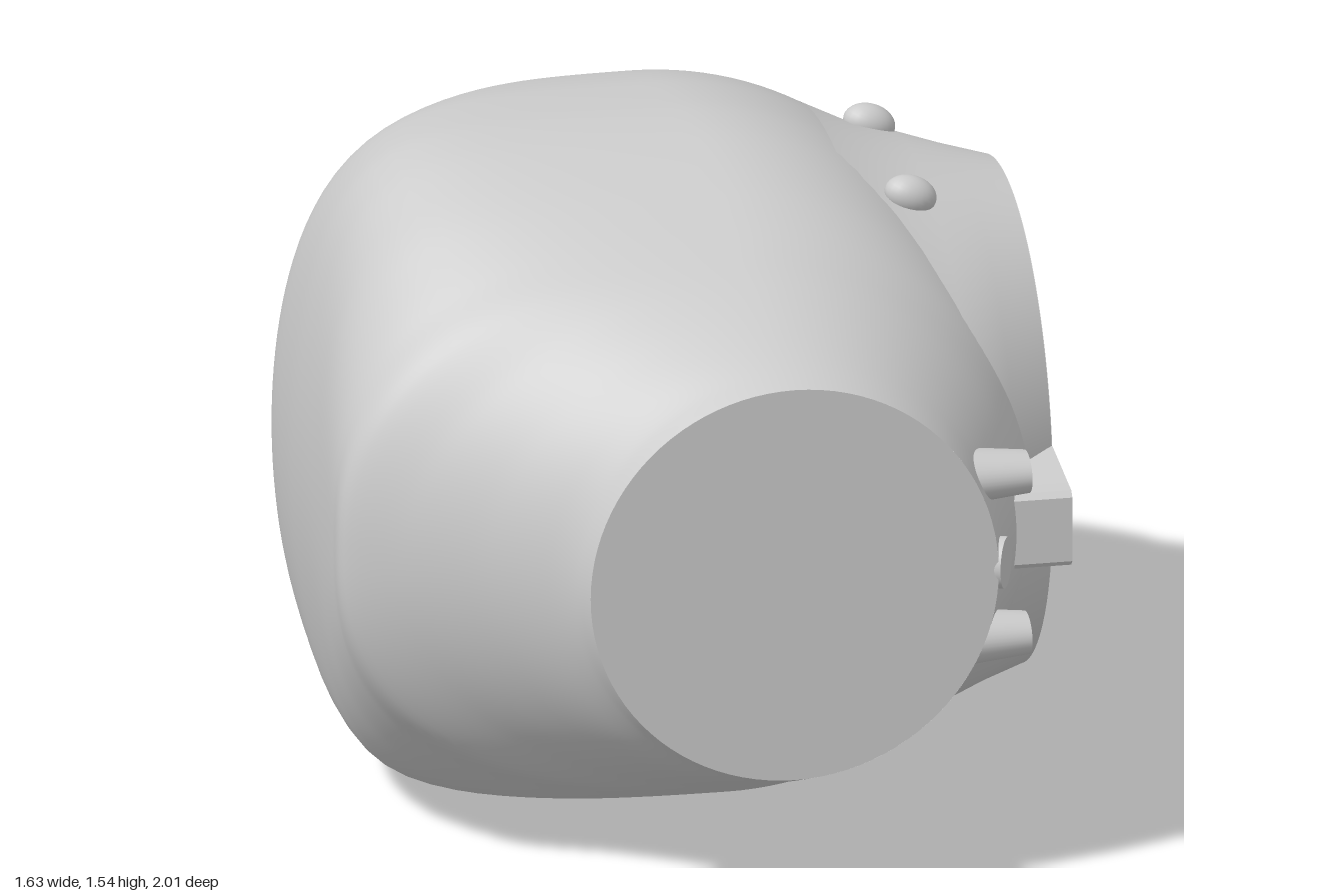
import * as THREE from 'three';

const CY = 0.77; // height of the main axis
const material = new THREE.MeshStandardMaterial({ color: 0xcccccc, side: THREE.DoubleSide });

export function createModel() {
  const group = new THREE.Group();
  const add = (name, geometry, x = 0, y = 0, z = 0) => {
    const mesh = new THREE.Mesh(geometry, material);
    mesh.name = name;
    mesh.position.set(x, y, z);
    group.add(mesh);
    return mesh;
  };
  // Cylinder lying along x
  const xCylinder = (rOuter, rInner, length, sides = 40) =>
    new THREE.CylinderGeometry(rOuter, rInner, length, sides).rotateZ(-Math.PI / 2);

  add('body', bodyGeometry());
  add('frontCap', new THREE.CircleGeometry(0.46, 96), 0.13, CY, 1);

  add('sideNeck', neckGeometry(), 0, CY, 0);
  add('sidePlate', xCylinder(0.565, 0.565, 0.02, 96), 0.791, CY, 0);

  // Raised centre panel with a fine rim
  add('panel', xCylinder(0.368, 0.368, 0.02, 80), 0.801, CY, 0);
  add('panelRim', new THREE.TorusGeometry(0.373, 0.005, 8, 80).rotateY(Math.PI / 2), 0.805, CY, 0);

  // Four bolts around the panel
  for (let i = 0; i < 4; i++) {
    const a = i * Math.PI / 2;
    add('bolt', xCylinder(0.055, 0.055, 0.03, 32), 0.798, CY + 0.46 * Math.sin(a), 0.005 + 0.46 * Math.cos(a));
  }

  // Tapered tab reaching forward from the plate
  const tab = new THREE.Shape([[0.5, -0.12], [0.57, -0.113], [0.73, -0.092], [0.765, -0.088], [0.778, -0.075],
    [0.778, 0.075], [0.765, 0.088], [0.73, 0.092], [0.57, 0.113], [0.5, 0.12]]
    .map(([z, y]) => new THREE.Vector2(-z, y)));
  const tabGeometry = new THREE.ExtrudeGeometry(tab, { depth: 0.15, bevelEnabled: false }).rotateY(Math.PI / 2);
  add('plateTab', tabGeometry, 0.651, CY, 0);

  // Pegs and stub beside the front opening
  for (const side of [-1, 1]) {
    const peg = add('frontPeg', xCylinder(0.046, 0.066, 0.2), 0.575, CY + side * 0.19, 0.895);
    peg.scale.z = 1.35;
  }
  const stub = add('frontStub', xCylinder(0.058, 0.058, 0.04), 0.598, CY, 0.945);
  stub.rotation.y = -0.42;

  // Small rounded studs on top
  for (const z of [-0.22, 0.24]) {
    const stud = add('topStud', new THREE.SphereGeometry(0.043, 24, 16), 0.545, 1.382, z);
    stud.scale.x = 1.4;
    stud.rotation.z = -0.35;
  }

  // Round-ended knob at the back, cut flat on its rear side
  const knob = new THREE.CapsuleGeometry(0.08, 0.16, 12, 32).rotateZ(Math.PI / 2);
  const p = knob.attributes.position;
  for (let i = 0; i < p.count; i++) p.setZ(i, Math.max(p.getZ(i), -0.072));
  knob.computeVertexNormals();
  add('backKnob', knob, 0.53, CY + 0.01, -0.798);

  return group;
}

// Flared neck that carries the round side plate; it widens along z to meet the body
function neckGeometry() {
  const profile = [[0.4, 0.69], [0.5, 0.642], [0.6, 0.615], [0.7, 0.588], [0.8, 0.565]]
    .map(([x, r]) => new THREE.Vector2(r, x));
  const geometry = new THREE.LatheGeometry(profile, 96).rotateZ(-Math.PI / 2);
  const p = geometry.attributes.position;
  for (let i = 0; i < p.count; i++) p.setZ(i, p.getZ(i) * (1 + 1.15 * Math.min(0.8 - p.getX(i), 0.2)));
  geometry.computeVertexNormals();
  return geometry;
}

// Lofts the housing from back to front. Each section is a rounded box with its own
// left side, right side, half height, left squareness and left doming.
function bodyGeometry() {
  const sections = [ // z, left x, right x, half height, left exponent, dome depth
    [-1, -0.27, 0.2, 0, 3, 0], [-0.99, -0.285, 0.25, 0.11, 3, 0.02], [-0.96, -0.33, 0.34, 0.215, 3.2, 0.05],
    [-0.9, -0.41, 0.44, 0.336, 3.5, 0.1], [-0.8, -0.52, 0.56, 0.462, 3.7, 0.16], [-0.65, -0.635, 0.685, 0.585, 4, 0.21],
    [-0.5, -0.715, 0.755, 0.667, 4.3, 0.2], [-0.35, -0.77, 0.775, 0.721, 4.8, 0.18], [-0.2, -0.805, 0.785, 0.755, 5.8, 0.16],
    [0, -0.814, 0.79, 0.77, 7.5, 0.15], [0.14, -0.814, 0.79, 0.763, 7.8, 0.15], [0.26, -0.814, 0.788, 0.742, 6.2, 0.14],
    [0.4, -0.814, 0.785, 0.705, 4.1, 0.1], [0.52, -0.814, 0.775, 0.655, 3, 0.05], [0.61, -0.808, 0.745, 0.618, 2.4, 0],
    [0.7, -0.69, 0.71, 0.58, 2.1, 0], [0.8, -0.54, 0.665, 0.541, 2, 0], [0.9, -0.405, 0.622, 0.501, 2, 0],
    [0.95, -0.355, 0.605, 0.48, 2, 0], [1, -0.33, 0.59, 0.46, 2, 0],
  ];
  const curve = (a, b, c) => new THREE.CatmullRomCurve3(
    sections.map(s => new THREE.Vector3(s[a], s[b], s[c])), false, 'catmullrom', 0.4);
  const sides = curve(0, 1, 2), shape = curve(3, 4, 5);
  const rows = 114, around = 144;
  const positions = [], index = [];
  for (let i = 0; i <= rows; i++) {
    const { x: z, y: left, z: right } = sides.getPoint(i / rows);
    const { x: height, y: squareness, z: dome } = shape.getPoint(i / rows);
    const centre = left + (right - left) * THREE.MathUtils.clamp(0.55 + 0.05 * z, 0.5, 0.58);
    const mid = THREE.MathUtils.lerp(centre, (left + right) / 2, THREE.MathUtils.smoothstep(Math.abs(z), 0.6, 1));
    for (let j = 0; j < around; j++) {
      const a = j / around * Math.PI * 2, c = Math.cos(a), s = Math.sin(a);
      const n = c < 0 ? squareness : 2;
      const r = (Math.abs(c) ** n + Math.abs(s) ** n) ** (-1 / n);
      const u = c * r, v = s * r;
      const leftward = Math.max(-u, 0);
      positions.push(
        mid + u * (c < 0 ? mid - left : right - mid) + dome * v * v * leftward,
        CY + v * Math.max(height, 0) * (1 - 0.03 * leftward ** 2),
        z);
      if (i < rows) {
        const p = i * around + j, q = i * around + (j + 1) % around;
        index.push(p, q, p + around, q, q + around, p + around);
      }
    }
  }
  const geometry = new THREE.BufferGeometry();
  geometry.setAttribute('position', new THREE.Float32BufferAttribute(positions, 3));
  geometry.setIndex(index);
  geometry.computeVertexNormals();
  return geometry;
}
